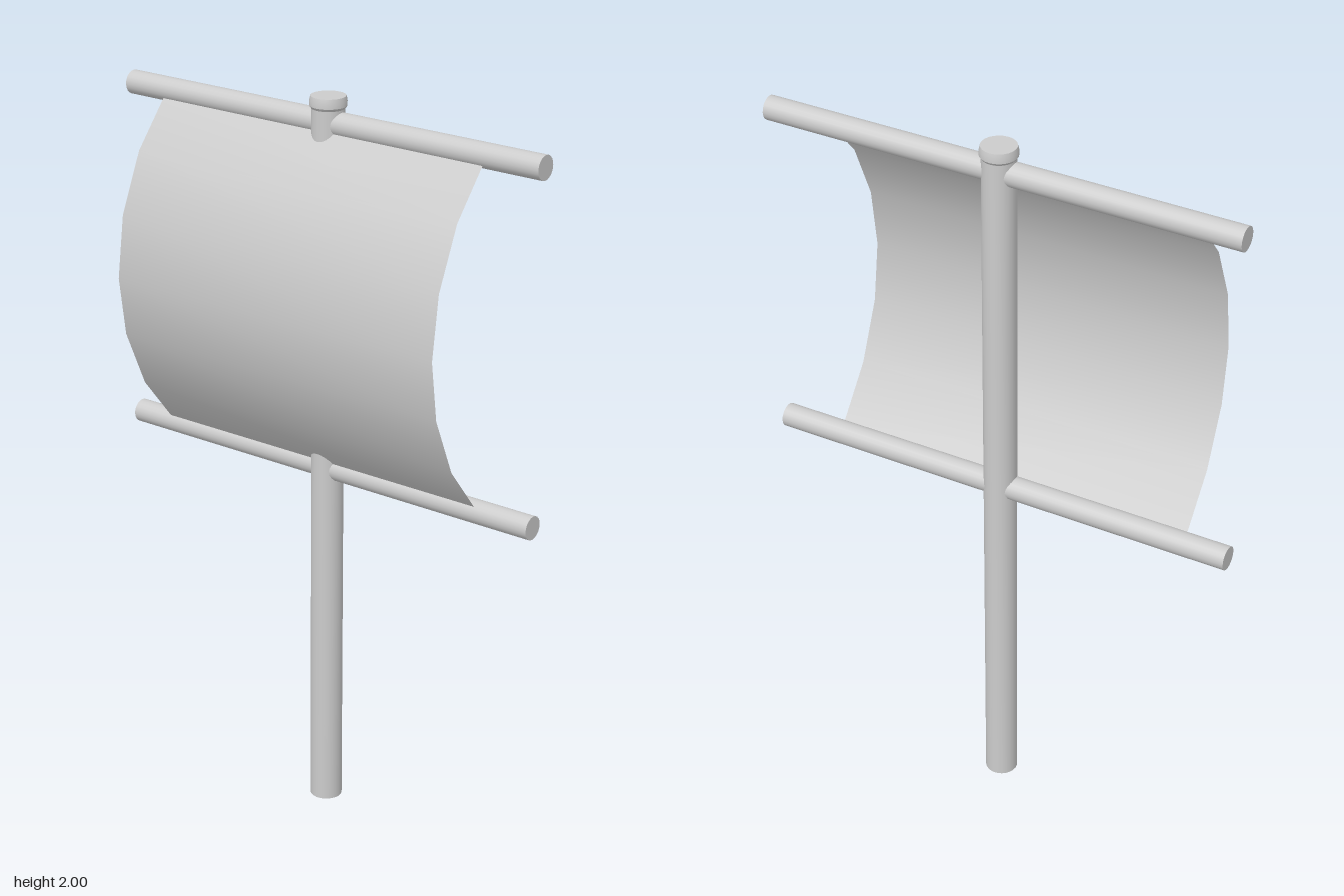
import * as THREE from 'three';
import { toCreasedNormals } from 'three/addons/utils/BufferGeometryUtils.js';

const POLE_X = 0.084;

export function createModel() {
  const group = new THREE.Group();
  const material = new THREE.MeshStandardMaterial({ color: 0xcccccc });
  const clothMaterial = new THREE.MeshStandardMaterial({ color: 0xcccccc, side: THREE.DoubleSide });

  function add(name, geometry, x, y, z, mat = material) {
    const mesh = new THREE.Mesh(geometry, mat);
    mesh.name = name;
    mesh.position.set(x, y, z);
    group.add(mesh);
    return mesh;
  }

  // Upright mast
  add('mast', new THREE.CylinderGeometry(0.044, 0.044, 1.975, 24), POLE_X, 0.9875, 0);

  // Flat cap with bevelled rims on top of the mast
  const capProfile = [[0, 1.968], [0.044, 1.968], [0.049, 1.975], [0.049, 1.988], [0.046, 2], [0, 2]]
    .map(([r, y]) => new THREE.Vector2(r, y));
  add('mastCap', toCreasedNormals(new THREE.LatheGeometry(capProfile, 24), 0.5), POLE_X, 0, 0);

  // Two horizontal yards crossing the mast
  for (const [name, y] of [['upperYard', 1.93], ['lowerYard', 0.99]]) {
    const yard = add(name, new THREE.CylinderGeometry(0.032, 0.032, 1.31, 20), POLE_X, y, 0);
    yard.rotation.x = Math.PI / 2;
  }

  // Billowing sail: a sheet bent along a profile between the yards
  const sailProfile = [
    [0.067, 1.92], [-0.042, 1.79], [-0.112, 1.63], [-0.135, 1.462],
    [-0.112, 1.3], [-0.042, 1.14], [0.067, 1.005],
  ];
  const sail = new THREE.PlaneGeometry(1.02, 1, 1, sailProfile.length - 1);
  const pos = sail.attributes.position;
  for (let i = 0; i < pos.count; i++) {
    const [x, y] = sailProfile[Math.floor(i / 2)];
    pos.setXYZ(i, x, y, -pos.getX(i));
  }
  sail.computeVertexNormals();
  add('sail', sail, 0, 0, -0.02, clothMaterial);

  return group;
}
